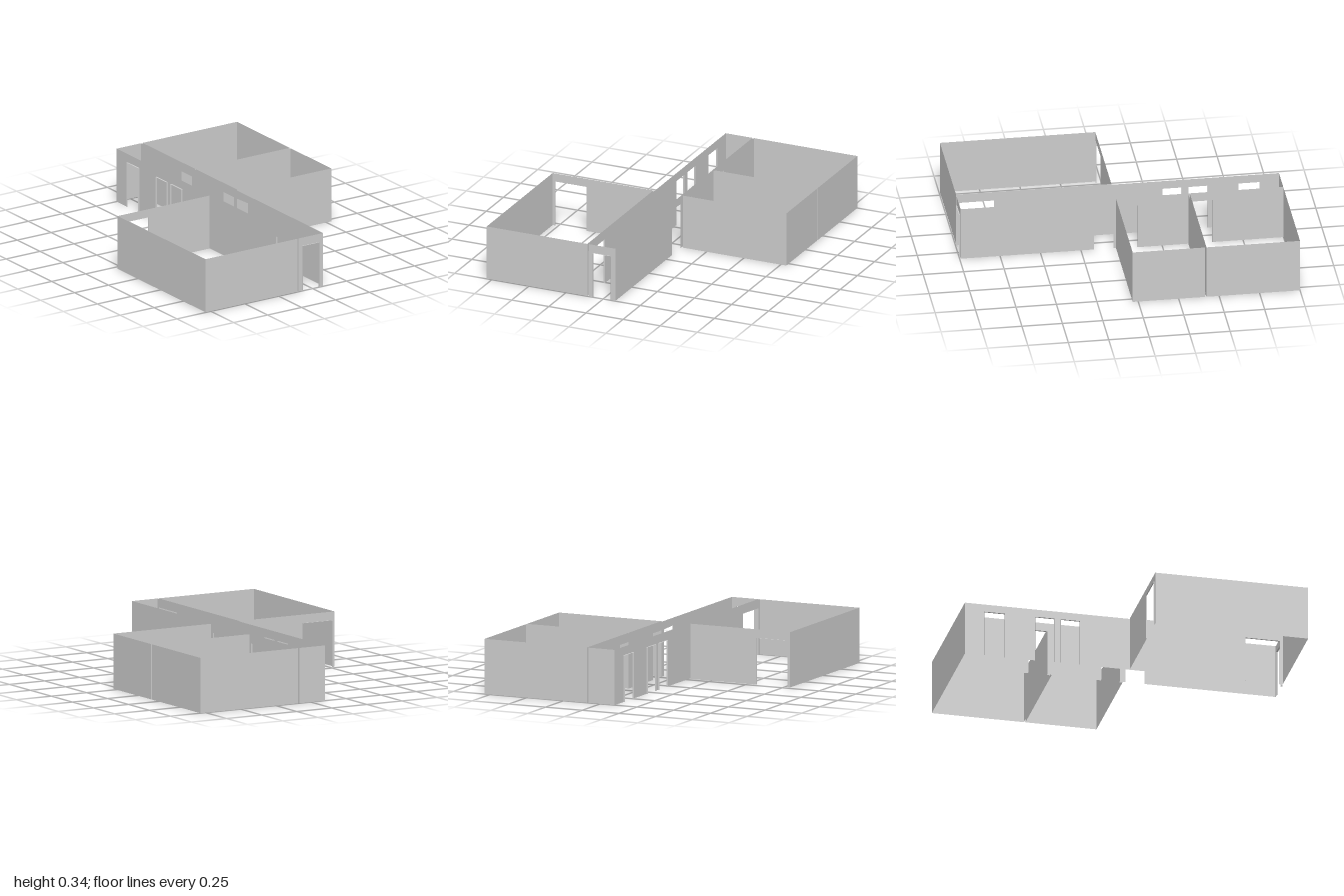
import * as THREE from 'three';

const HEIGHT = 0.343, HEAD = 0.29;
const material = new THREE.MeshStandardMaterial({ color: 0xcccccc, side: THREE.DoubleSide, flatShading: true });

// Places a geometry drawn in the XY plane along x (at a given z) or along z (at a given x)
function place(geometry, along, at) {
  if (along === 'z') return geometry.rotateY(-Math.PI / 2).translate(at, 0, 0);
  return geometry.translate(0, 0, at);
}

// Thin wall panel with door notches [from, to, headFrom, headTo] open to the floor
function wall(name, along, at, from, to, doors = []) {
  const shape = new THREE.Shape();
  shape.moveTo(from, 0);
  for (const [a, b, headA = HEAD, headB = HEAD] of doors) {
    shape.lineTo(a, 0);
    shape.lineTo(a, headA);
    shape.lineTo(b, headB);
    shape.lineTo(b, 0);
  }
  shape.lineTo(to, 0);
  shape.lineTo(to, HEIGHT);
  shape.lineTo(from, HEIGHT);
  const mesh = new THREE.Mesh(place(new THREE.ShapeGeometry(shape), along, at), material);
  mesh.name = name;
  return mesh;
}

// Door lining: two jambs and a head bridging the wall thickness
function lining(name, along, at, depth, [a, b]) {
  const profile = [[a, 0], [a, HEAD], [b, HEAD], [b, 0]];
  const positions = [], index = [];
  profile.forEach(([s, y], i) => {
    positions.push(s, y, -depth / 2, s, y, depth / 2);
    if (i < 3) {
      const k = i * 2;
      index.push(k, k + 1, k + 2, k + 1, k + 3, k + 2);
    }
  });
  const geometry = new THREE.BufferGeometry();
  geometry.setAttribute('position', new THREE.Float32BufferAttribute(positions, 3));
  geometry.setIndex(index);
  const flat = geometry.toNonIndexed();
  flat.computeVertexNormals();
  const mesh = new THREE.Mesh(place(flat, along, at), material);
  mesh.name = name;
  return mesh;
}

// Four walls around a rectangle, with optional doors per side
function room(name, x0, x1, z0, z1, doors = {}) {
  const group = new THREE.Group();
  group.name = name;
  group.add(
    wall('frontWall', 'x', z1, x0, x1, doors.front),
    wall('backWall', 'x', z0, x0, x1, doors.back),
    wall('rightWall', 'z', x0, z0, z1, doors.right),
    wall('leftWall', 'z', x1, z0, z1, doors.left),
  );
  return group;
}

export function createModel() {
  const model = new THREE.Group();
  model.name = 'floorPlan';

  const front = 0.994, back = -1, side = 0.787, middle = 0.034;
  const corridorRight = -0.099, corridorLeft = 0.081, gap = 0.01;

  // Door openings
  const entrance = [-0.07, 0.05];
  const outerDoors = [[-0.88, -0.75], [-0.56, -0.44], [-0.40, -0.28]];
  const hallDoor = [0.76, 0.975];
  const backRoomDoor = [-0.56, -0.44];
  const middleRoomDoor = [-0.10, 0.015];
  const sideExit = [0.05, 0.17, 0.29, 0.295];
  const gardenDoor = [-0.77, -0.56];

  // Long corridor and the three rooms, each with its own wall skin
  model.add(
    room('corridor', corridorRight, corridorLeft, back, front, {
      front: [entrance],
      right: [...outerDoors, hallDoor],
      left: [backRoomDoor, middleRoomDoor, sideExit],
    }),
    room('frontHall', -side, corridorRight - gap, middle, front, { right: [], left: [hallDoor], back: [gardenDoor] }),
    room('middleRoom', corridorLeft + gap, side, -0.412, middle, { right: [middleRoomDoor] }),
    room('backRoom', corridorLeft + gap, side, back, -0.422, { right: [backRoomDoor] }),
  );

  // Linings in the door openings
  for (const door of [...outerDoors, hallDoor]) {
    model.add(lining('rightDoorLining', 'z', corridorRight - gap / 2, gap, door));
  }
  for (const door of [backRoomDoor, middleRoomDoor]) {
    model.add(lining('leftDoorLining', 'z', corridorLeft + gap / 2, gap, door));
  }
  model.add(
    lining('entranceLining', 'x', 0.995, gap, entrance),
    lining('gardenDoorLining', 'x', middle - 0.003, 0.006, gardenDoor),
  );
  return model;
}
